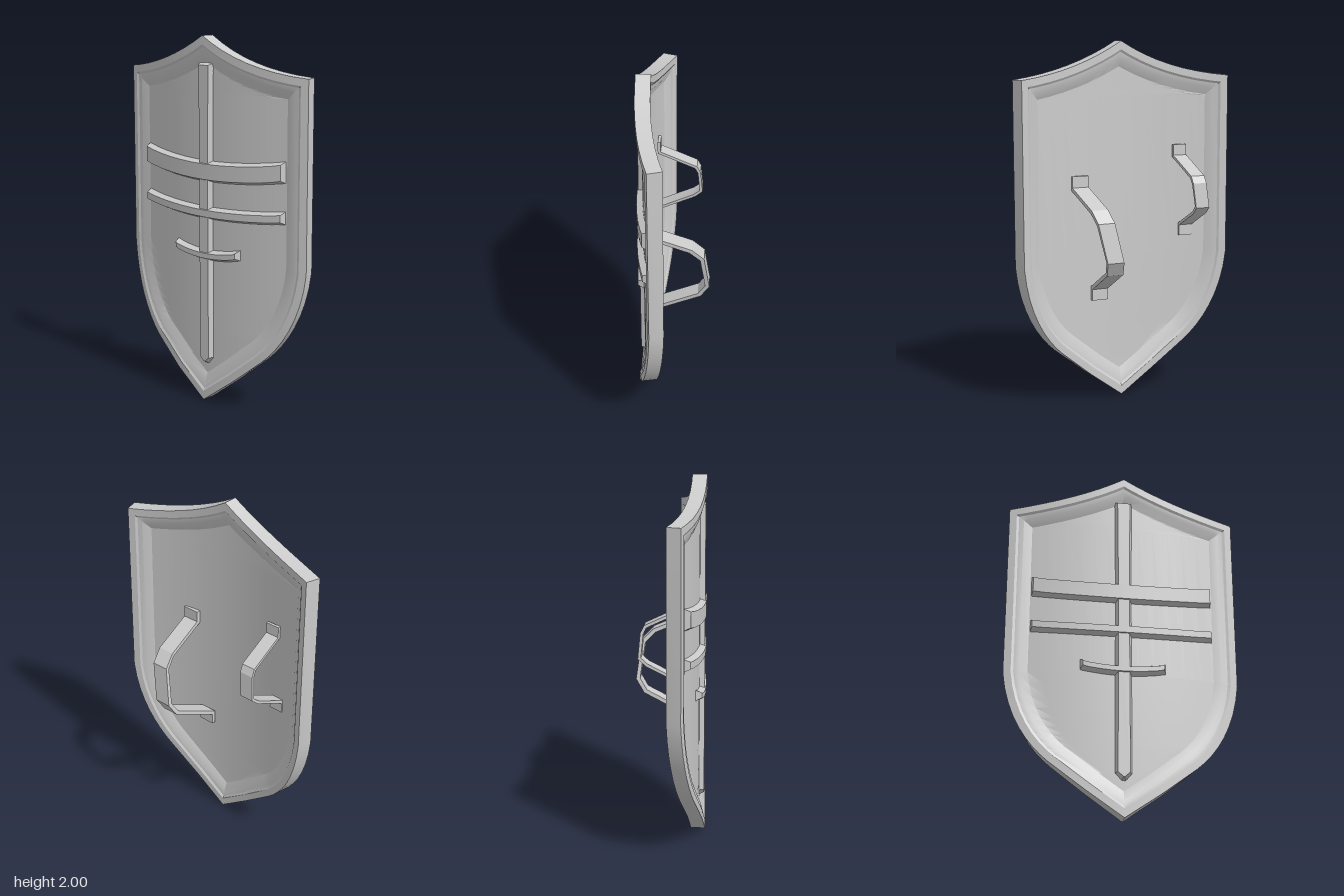
import * as THREE from 'three';
import { toCreasedNormals } from 'three/addons/utils/BufferGeometryUtils.js';

const R = 2.03; // radius of the shield's curved front
const material = new THREE.MeshStandardMaterial({ color: 0xcccccc });

// Wraps a flat point onto the curved shield, depth measured behind the front
function bend(x, y, depth) {
  const a = Math.asin(x / R), r = R - depth;
  return new THREE.Vector3(r * Math.sin(a), y, r * Math.cos(a) - R + 0.2);
}

// Skins closed rings into a capped solid whose faces point outward
function loft(name, rings, crease = 0.4) {
  const n = rings[0].length, tris = [];
  const tri = (a, b, c) => {
    const area = b.clone().sub(a).cross(c.clone().sub(a)).length();
    if (area > 1e-9) tris.push([a, b, c]);
  };
  for (let i = 0; i < rings.length - 1; i++) {
    for (let j = 0; j < n; j++) {
      const k = (j + 1) % n, p = rings[i], q = rings[i + 1];
      tri(p[j], q[j], q[k]);
      tri(p[j], q[k], p[k]);
    }
  }
  if (n === 4) {
    const s = rings[0], e = rings[rings.length - 1];
    tri(s[0], s[1], s[2]); tri(s[0], s[2], s[3]);
    tri(e[0], e[2], e[1]); tri(e[0], e[3], e[2]);
  }
  const volume = tris.reduce((v, [a, b, c]) => v + a.dot(b.clone().cross(c)), 0);
  const pts = tris.flatMap(([a, b, c]) => (volume < 0 ? [a, c, b] : [a, b, c]));
  const geometry = new THREE.BufferGeometry().setFromPoints(pts);
  const mesh = new THREE.Mesh(toCreasedNormals(geometry, crease), material);
  mesh.name = name;
  return mesh;
}

// Right half of the outline, from the top peak to the bottom point
function halfOutline() {
  const v = (x, y) => new THREE.Vector2(x, y);
  const top = new THREE.QuadraticBezierCurve(v(0, 2), v(0.27, 1.838), v(0.635, 1.805));
  const low = new THREE.CubicBezierCurve(v(0.635, 0.8), v(0.61, 0.55), v(0.5, 0.385), v(0.387, 0.29));
  return [...top.getPoints(8), ...low.getPoints(8), v(0.2, 0.142), v(0, 0)];
}

// Moves the outline inward by a mitred offset
function inset(points, d) {
  const flip = (p) => new THREE.Vector2(-p.x, p.y);
  const last = points.length - 1;
  const normal = (a, b) => {
    const t = b.clone().sub(a).normalize();
    return new THREE.Vector2(t.y, -t.x);
  };
  return points.map((p, i) => {
    const n1 = normal(i ? points[i - 1] : flip(points[1]), p);
    const n2 = normal(p, i < last ? points[i + 1] : flip(points[last - 1]));
    const m = n1.clone().add(n2).divideScalar(1 + n1.dot(n2));
    return p.clone().addScaledVector(m, d);
  });
}

// Curved board with a raised moulded rim on both faces
function shieldBoard() {
  const outline = halfOutline(), thick = 0.08, columns = 6;
  const profile = [[0, 0], [0.04, 0], [0.052, 0.008], [0.078, 0.012], [0.122, 0.033]];
  const loops = profile.map(([d]) => inset(outline, d));
  const rings = outline.map((_, i) => {
    const half = profile.map(([, depth], k) => [loops[k][i].x, loops[k][i].y, depth]);
    const [px, py, pd] = half[half.length - 1];
    for (let c = columns - 1; c >= 0; c--) half.push([px * c / columns, py, pd]);
    const mirrored = half.slice(0, -1).map(([x, y, d]) => [-x, y, d]);
    const front = [...mirrored, ...half.slice().reverse()];
    const back = front.slice().reverse().map(([x, y, d]) => [x, y, thick - d]);
    return [...front, ...back].map((p) => bend(...p));
  });
  return loft('shieldBoard', rings);
}

// Raised bar with sloped sides and ends; stations are [along, centre, halfWidth]
function raisedBar(name, stations, place, face) {
  const bevel = 0.02, base = 0.045, last = stations.length - 1;
  const rings = stations.map(([s, c, h], i) => {
    const f = s + (i === 0 ? bevel : i === last ? -bevel : 0) * Math.sign(stations[last][0] - stations[0][0]);
    const w = Math.max(h - bevel, h * 0.3);
    return [place(s, c - h, base), place(f, c - w, face), place(f, c + w, face), place(s, c + h, base)];
  });
  return loft(name, rings, 0.3);
}

function crossBar(name, halfLength, middle, sag, halfHeight) {
  const stations = [];
  for (let i = -6; i <= 6; i++) {
    const t = i / 6;
    stations.push([t * halfLength, middle + sag * t * t, halfHeight]);
  }
  return raisedBar(name, stations, (s, w, d) => bend(s, w, d), 0);
}

// Flat band following [y, z] points, leaning sideways from topX to bottomX
function strap(name, path, topX, bottomX, width, thick) {
  const yTop = path[1][0], yLow = path[path.length - 2][0];
  const pts = path.map(([y, z]) => new THREE.Vector2(y, z));
  const rings = pts.map((p, i) => {
    const a = p.clone().sub(pts[Math.max(i - 1, 0)]).normalize();
    const b = pts[Math.min(i + 1, pts.length - 1)].clone().sub(p).normalize();
    const n1 = new THREE.Vector2(-a.y, a.x), n2 = new THREE.Vector2(-b.y, b.x);
    const n = n1.clone().add(n2).divideScalar(1 + n1.dot(n2)).multiplyScalar(thick / 2);
    const t = THREE.MathUtils.clamp((yTop - p.x) / (yTop - yLow), 0, 1);
    const x = THREE.MathUtils.lerp(topX, bottomX, t);
    return [[-1, -1], [1, -1], [1, 1], [-1, 1]].map(([u, v]) =>
      new THREE.Vector3(x + u * width / 2, p.x + v * n.x, p.y + v * n.y));
  });
  return loft(name, rings, 0.3);
}

export function createModel() {
  const model = new THREE.Group();
  model.name = 'shield';
  model.add(shieldBoard());

  // Front decoration: one upright with three curved cross bars
  const upright = [[1.865, 0, 0.055], [1.3, 0, 0.05], [0.245, 0, 0.052], [0.2, 0, 0.012]];
  model.add(raisedBar('upright', upright, (s, w, d) => bend(w, s, d), 0.006));
  model.add(crossBar('upperCrossBar', 0.512, 1.28, 0.04, 0.062));
  model.add(crossBar('middleCrossBar', 0.512, 1.053, 0.028, 0.039));
  model.add(crossBar('lowerCrossBar', 0.24, 0.82, 0.028, 0.034));

  // Arm strap and hand grip on the back, each with flat feet
  model.add(strap('armStrap', [[1.27, 0.13], [1.2, 0.13], [1.105, -0.1], [1.045, -0.16],
    [0.84, -0.188], [0.77, -0.145], [0.635, 0.13], [0.565, 0.13]], 0.245, 0.13, 0.095, 0.022));
  model.add(strap('handGrip', [[1.42, 0.105], [1.355, 0.105], [1.26, -0.1], [1.225, -0.118],
    [1.095, -0.13], [1.06, -0.09], [0.965, 0.105], [0.9, 0.105]], -0.35, -0.39, 0.08, 0.016));
  return model;
}
